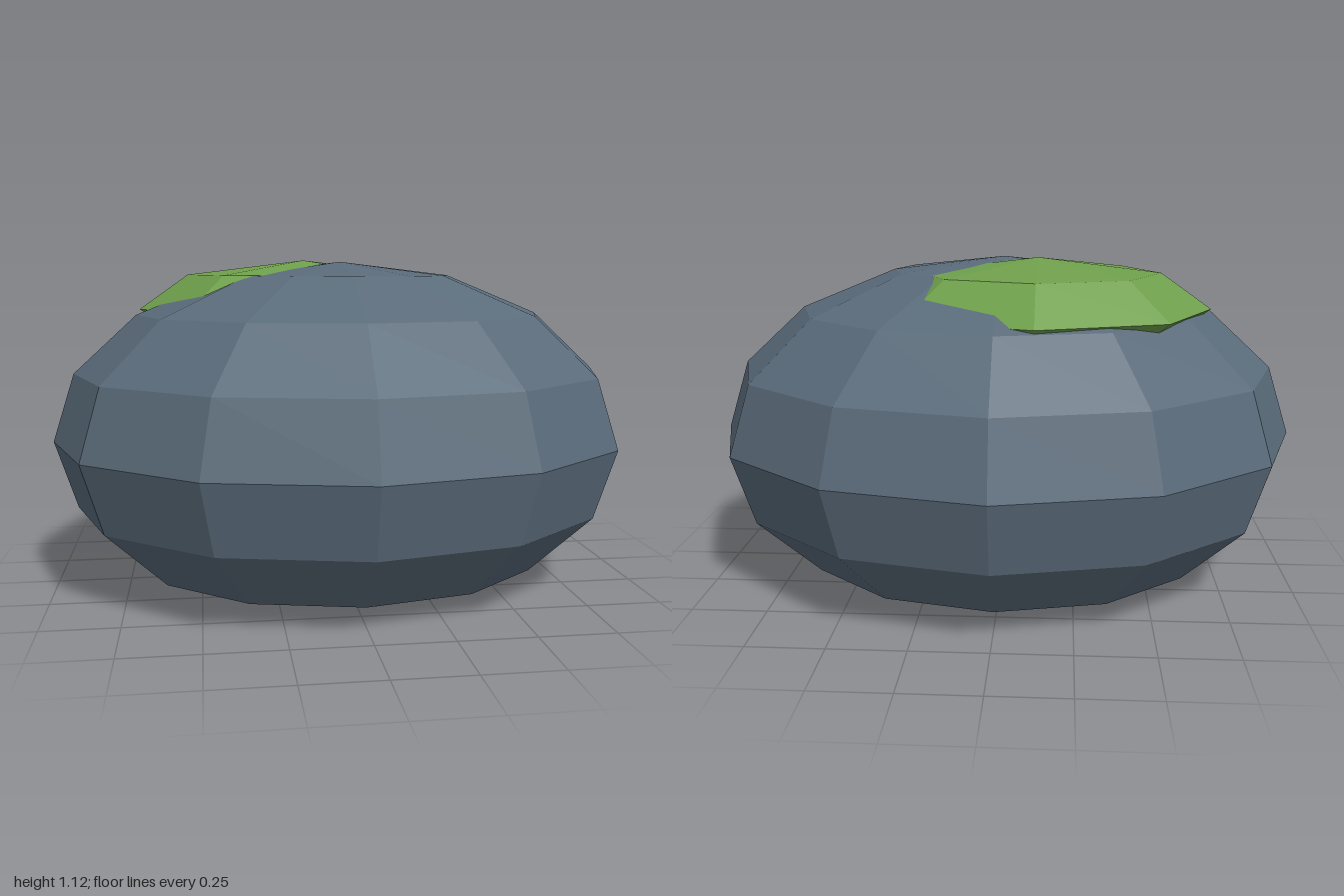
import * as THREE from 'three';

// Faceted ellipsoid resting at a given centre
function ellipsoid(name, material, sides, rings, radii, centre) {
  const geometry = new THREE.SphereGeometry(1, sides, rings);
  geometry.scale(...radii);
  geometry.translate(...centre);
  const mesh = new THREE.Mesh(geometry, material);
  mesh.name = name;
  return mesh;
}

export function createModel() {
  const stone = new THREE.MeshStandardMaterial({ color: 0x5a6b7a, flatShading: true });
  stone.name = 'slate stone';
  const green = new THREE.MeshStandardMaterial({ color: 0x6fa04c, flatShading: true });
  green.name = 'moss green';

  const group = new THREE.Group();
  group.name = 'mossyBoulder';

  // Boulder, with its underside pressed flat onto the ground
  const boulder = ellipsoid('boulder', stone, 12, 8, [1, 0.615, 0.853], [0, 0.5, 0]);
  const p = boulder.geometry.attributes.position;
  for (let i = 0; i < p.count; i++) {
    if (p.getY(i) < 0) p.setY(i, p.getY(i) < -0.1 ? 0 : 0.005);
  }
  boulder.geometry.computeVertexNormals();
  group.add(boulder);

  // Moss cushion sunk into the top, towards the back right
  group.add(ellipsoid('mossPatch', green, 8, 4, [0.58, 0.17, 0.485], [-0.12, 0.95, -0.1]));

  return group;
}
